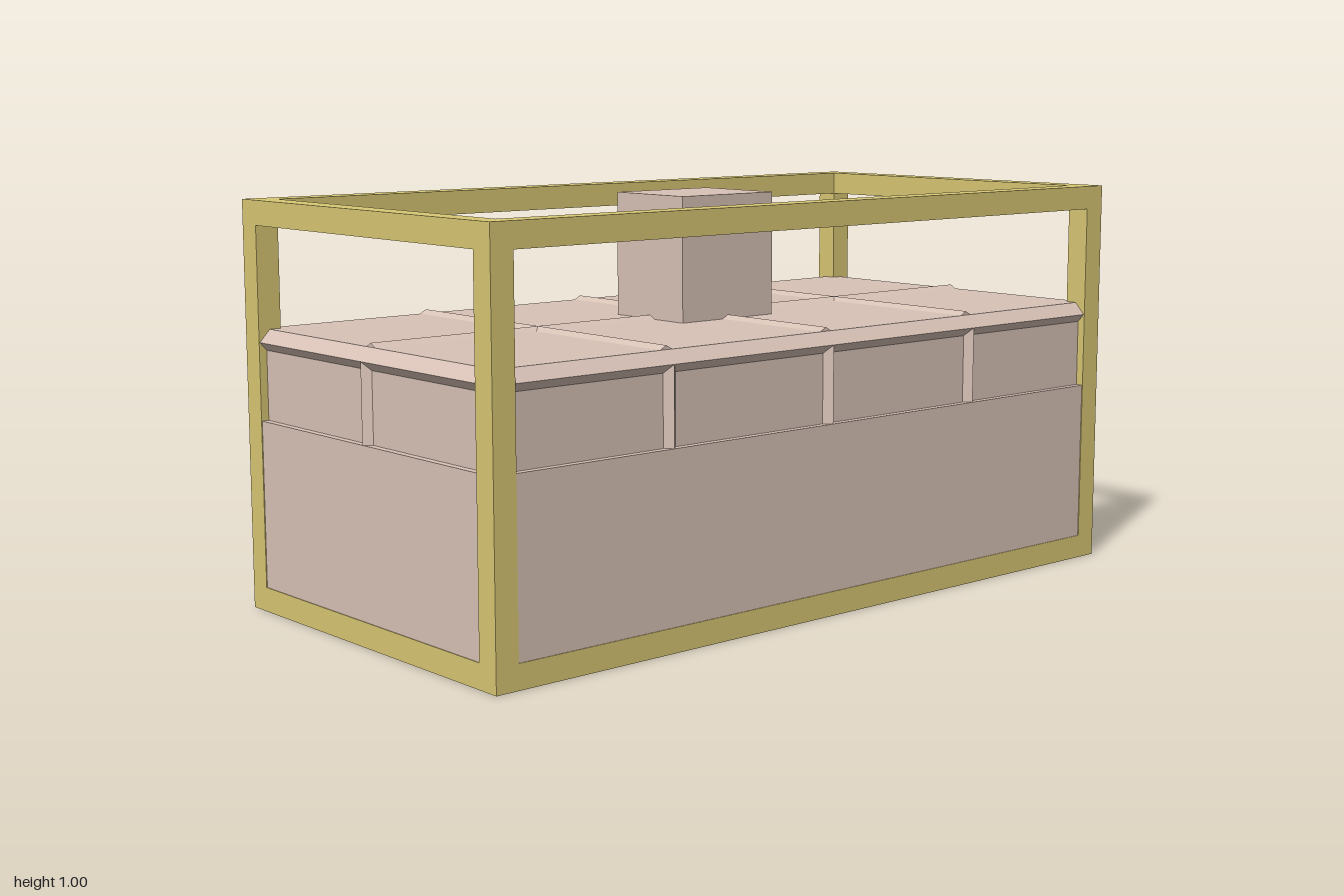
import * as THREE from 'three';

const clay = new THREE.MeshStandardMaterial({ color: 0xd8c2b6 });
clay.name = 'dustyClay';
const brass = new THREE.MeshStandardMaterial({ color: 0xd8c774 });
brass.name = 'paleBrass';

// Stack of rectangular rings [halfX, y, halfZ], capped at both ends
function stackedBody(rings) {
  const pos = [];
  const loops = rings.map(([x, y, z]) => [[-x, y, z], [x, y, z], [x, y, -z], [-x, y, -z]]);
  const quad = (a, b, c, d) => pos.push(...a, ...b, ...c, ...a, ...c, ...d);
  for (let i = 0; i < loops.length - 1; i++) {
    const lo = loops[i], hi = loops[i + 1];
    for (let k = 0; k < 4; k++) {
      const n = (k + 1) % 4;
      quad(lo[k], lo[n], hi[n], hi[k]);
    }
  }
  const top = loops[loops.length - 1], bottom = loops[0];
  quad(...top);
  quad(bottom[3], bottom[2], bottom[1], bottom[0]);
  const g = new THREE.BufferGeometry();
  g.setAttribute('position', new THREE.Float32BufferAttribute(pos, 3));
  g.computeVertexNormals();
  return g;
}

// Triangular ridge running along z, standing on y = 0
function ridge(length, half, height) {
  const s = new THREE.Shape();
  s.moveTo(-half, 0);
  s.lineTo(half, 0);
  s.lineTo(0, height);
  s.closePath();
  return new THREE.ExtrudeGeometry(s, { depth: length, bevelEnabled: false }).translate(0, 0, -length / 2);
}

export function createModel() {
  const model = new THREE.Group();
  model.name = 'framedTank';

  const add = (parent, name, geometry, material, x = 0, y = 0, z = 0) => {
    const m = new THREE.Mesh(geometry, material);
    m.name = name;
    m.position.set(x, y, z);
    parent.add(m);
    return m;
  };

  // Tank body with recessed upper walls and a bevelled rim
  add(model, 'body', stackedBody([
    [0.498, 0.002, 0.998], [0.498, 0.47, 0.998],
    [0.48, 0.47, 0.98], [0.48, 0.64, 0.98],
    [0.498, 0.66, 0.998], [0.47, 0.69, 0.97],
  ]), clay);

  // Block on the lid
  add(model, 'topBlock', new THREE.BoxGeometry(0.25, 0.31, 0.3), clay, 0, 0.845, 0);

  // Ridges dividing the lid into panels
  const ribs = new THREE.Group();
  ribs.name = 'panelRibs';
  model.add(ribs);
  add(ribs, 'lidLongRib', ridge(1.94, 0.018, 0.01), clay, 0, 0.69, 0);
  for (const z of [-0.5, 0, 0.5]) {
    add(ribs, 'lidCrossRib', ridge(0.94, 0.018, 0.01), clay, 0, 0.69, z).rotation.y = Math.PI / 2;
  }

  // Upright ridges on the recessed walls
  const upright = ridge(0.19, 0.018, 0.018).rotateX(Math.PI / 2);
  for (const side of [-1, 1]) {
    const end = add(ribs, 'endRib', upright, clay, 0, 0.565, side * 0.98);
    end.rotation.y = side > 0 ? 0 : Math.PI;
    for (const z of [-0.5, 0, 0.5]) {
      add(ribs, 'sideRib', upright, clay, side * 0.48, 0.565, z).rotation.y = side * Math.PI / 2;
    }
  }

  // Open frame of square bars along all twelve edges
  const frame = new THREE.Group();
  frame.name = 'frame';
  model.add(frame);
  const t = 0.06;
  const post = new THREE.BoxGeometry(t, 1 - 2 * t, t);
  const longBar = new THREE.BoxGeometry(t, t, 2);
  const shortBar = new THREE.BoxGeometry(1 - 2 * t, t, t);
  for (const a of [-1, 1]) {
    for (const b of [-1, 1]) {
      add(frame, 'post', post, brass, a * 0.47, 0.5, b * 0.97);
      add(frame, 'longBar', longBar, brass, a * 0.47, 0.5 + b * 0.47, 0);
      add(frame, 'shortBar', shortBar, brass, 0, 0.5 + b * 0.47, a * 0.97);
    }
  }

  return model;
}
